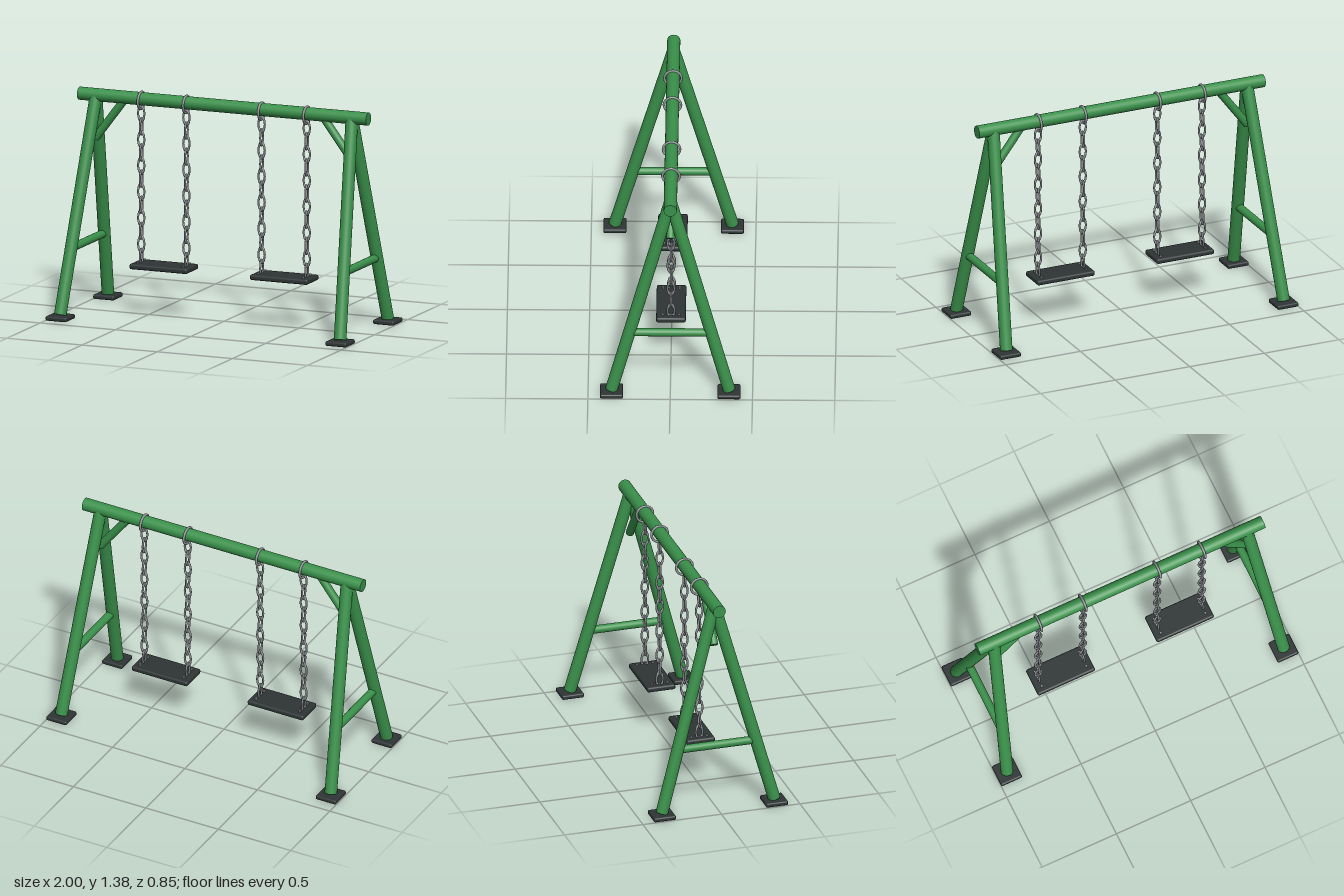
import * as THREE from 'three';
import { RoundedBoxGeometry } from 'three/addons/geometries/RoundedBoxGeometry.js';

export function createModel() {
  const model = new THREE.Group();
  model.name = 'swingSet';

  const paint = (name, color) => {
    const m = new THREE.MeshStandardMaterial({ color });
    m.name = name;
    return m;
  };
  const green = paint('greenPaint', 0x3a914b);
  const rubber = paint('darkRubber', 0x2e3435);
  const steel = paint('steel', 0x8f9397);

  const add = (parent, name, geometry, material, x = 0, y = 0, z = 0) => {
    const mesh = new THREE.Mesh(geometry, material);
    mesh.name = name;
    mesh.position.set(x, y, z);
    parent.add(mesh);
    return mesh;
  };

  // Round bar between two points
  const bar = (parent, name, from, to, radius) => {
    const a = new THREE.Vector3(...from);
    const b = new THREE.Vector3(...to);
    const dir = b.clone().sub(a);
    const mesh = add(parent, name, new THREE.CylinderGeometry(radius, radius, dir.length(), 24), green);
    mesh.position.copy(a).add(b).multiplyScalar(0.5);
    mesh.quaternion.setFromUnitVectors(new THREE.Vector3(0, 1, 0), dir.normalize());
    return mesh;
  };

  const beamY = 1.335;
  bar(model, 'topBeam', [-0.96, beamY, 0], [0.96, beamY, 0], 0.04);

  // A-frames at both ends
  const footGeometry = new RoundedBoxGeometry(0.14, 0.028, 0.14, 3, 0.01);
  for (const side of [-1, 1]) {
    const frame = new THREE.Group();
    frame.name = side > 0 ? 'leftFrame' : 'rightFrame';
    model.add(frame);
    for (const end of [-1, 1]) {
      const where = end > 0 ? 'front' : 'back';
      bar(frame, where + 'Leg', [side * 0.85, beamY, 0], [side * 0.93, 0.03, end * 0.357], 0.038);
      add(frame, where + 'Foot', footGeometry, rubber, side * 0.93, 0.014, end * 0.357);
    }
    bar(frame, 'crossbar', [side * 0.906, 0.425, -0.25], [side * 0.906, 0.425, 0.25], 0.025);
    bar(frame, 'brace', [side * 0.65, beamY, 0], [side * 0.853, 1.068, 0], 0.025);
  }

  // Swings: rings round the beam, alternating chain links, seat and bolts
  const ringGeometry = new THREE.TorusGeometry(0.052, 0.008, 8, 20).rotateY(Math.PI / 2);
  const linkGeometry = new THREE.TorusGeometry(0.021, 0.0065, 8, 16).scale(1, 2.1, 1);
  const seatGeometry = new RoundedBoxGeometry(0.385, 0.033, 0.18, 3, 0.012);
  const boltGeometry = new THREE.CylinderGeometry(0.008, 0.008, 0.014, 12);
  const linkCount = 12;
  for (const side of [-1, 1]) {
    const swing = new THREE.Group();
    swing.name = side > 0 ? 'leftSwing' : 'rightSwing';
    swing.position.x = side * 0.4;
    model.add(swing);
    add(swing, 'seat', seatGeometry, rubber, 0, 0.306, 0);
    for (const x of [-0.15, 0.15]) {
      add(swing, 'beamRing', ringGeometry, steel, x, 1.325, 0);
      const chain = new THREE.Group();
      chain.name = 'chain';
      chain.position.x = x;
      swing.add(chain);
      for (let i = 0; i < linkCount; i++) {
        const link = add(chain, 'chainLink', linkGeometry, steel, 0, 1.244 - i * 0.081, 0);
        link.rotation.y = (i % 2) * Math.PI / 2;
      }
      for (const z of [-0.05, 0.05]) add(swing, 'seatBolt', boltGeometry, steel, x, 0.325, z);
    }
  }
  return model;
}
